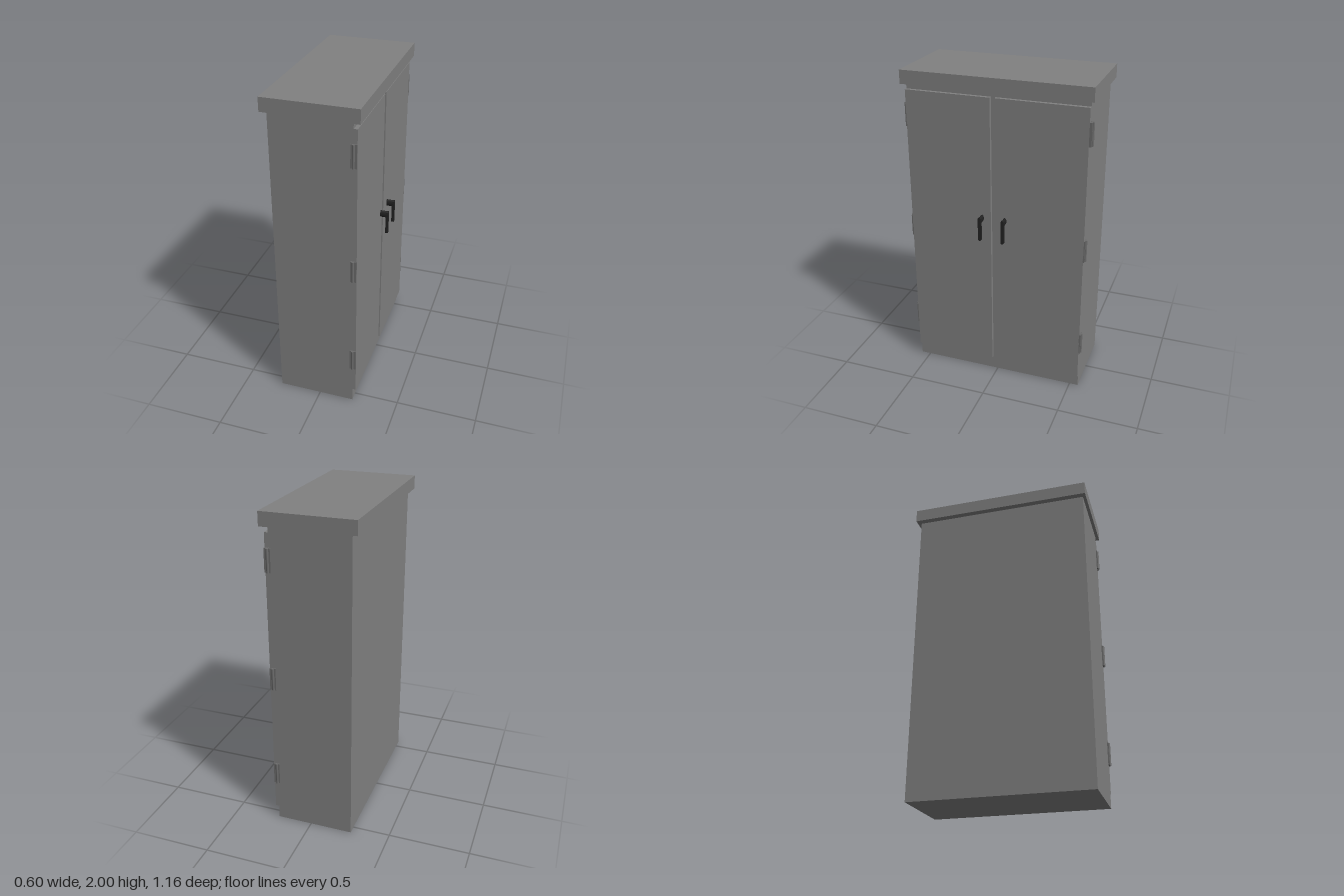
import * as THREE from 'three';

export function createModel() {
  const model = new THREE.Group();
  const paint = new THREE.MeshStandardMaterial({ color: 0x808080 });
  paint.name = 'greyPaint';
  const steel = new THREE.MeshStandardMaterial({ color: 0x6c6c6c });
  steel.name = 'hingeSteel';
  const black = new THREE.MeshStandardMaterial({ color: 0x222222 });
  black.name = 'blackPlastic';

  // Box given by its minimum and maximum on each axis
  function box(name, mat, [x0, x1], [y0, y1], [z0, z1], parent = model) {
    const mesh = new THREE.Mesh(new THREE.BoxGeometry(x1 - x0, y1 - y0, z1 - z0), mat);
    mesh.position.set((x0 + x1) / 2, (y0 + y1) / 2, (z0 + z1) / 2);
    mesh.name = name;
    parent.add(mesh);
    return mesh;
  }

  // Cabinet body with overhanging roof
  box('body', paint, [-0.265, 0.218], [0, 1.916], [-0.555, 0.56]);
  box('roof', paint, [-0.301, 0.261], [1.916, 2], [-0.58, 0.58]);

  // Double doors standing proud of the body
  box('leftDoor', paint, [0.218, 0.24], [0.09, 1.88], [0.03, 0.56]);
  box('rightDoor', paint, [0.218, 0.24], [0.083, 1.88], [-0.555, 0]);

  // Three hinges on each side: two leaves and a knuckle barrel
  const barrel = new THREE.CylinderGeometry(0.008, 0.008, 0.14, 12);
  for (const side of [1, -1]) {
    for (const y of [0.335, 0.995, 1.725]) {
      const hinge = new THREE.Group();
      hinge.name = 'hinge';
      const face = side > 0 ? 0.56 : -0.555;
      const out = side < 0 && y > 1.5 ? 0.008 : 0;
      const near = face - side * 0.002;
      const far = face + side * (0.007 + out);
      const zs = [Math.min(near, far), Math.max(near, far)];
      box('bodyLeaf', steel, [0.202, 0.217], [y - 0.07, y + 0.07], zs, hinge);
      box('doorLeaf', steel, [0.221, 0.24], [y - 0.07, y + 0.07], zs, hinge);
      const knuckle = new THREE.Mesh(barrel, steel);
      knuckle.name = 'knuckle';
      knuckle.position.set(0.219, y, face + side * (0.008 + out));
      hinge.add(knuckle);
      model.add(hinge);
    }
  }

  // Lever handles: round spindle and a hanging bar with rounded ends
  const spindleGeo = new THREE.CylinderGeometry(0.011, 0.011, 0.048, 16).rotateZ(Math.PI / 2);
  spindleGeo.scale(1, 2, 1);
  const r = 0.01;
  const bar = new THREE.Shape();
  bar.absarc(0, 1.135, r, 0, Math.PI);
  bar.absarc(0, 1.0, r, Math.PI, Math.PI * 2);
  const barGeo = new THREE.ExtrudeGeometry(bar, { depth: 0.016, bevelEnabled: false, curveSegments: 8 });
  barGeo.rotateY(Math.PI / 2);
  for (const z of [0.084, -0.062]) {
    const handle = new THREE.Group();
    handle.name = 'handle';
    const spindle = new THREE.Mesh(spindleGeo, black);
    spindle.name = 'spindle';
    spindle.position.set(0.27, 1.123, 0);
    const lever = new THREE.Mesh(barGeo, black);
    lever.name = 'lever';
    lever.position.x = 0.281;
    handle.add(spindle, lever);
    handle.position.z = z;
    model.add(handle);
  }
  return model;
}
